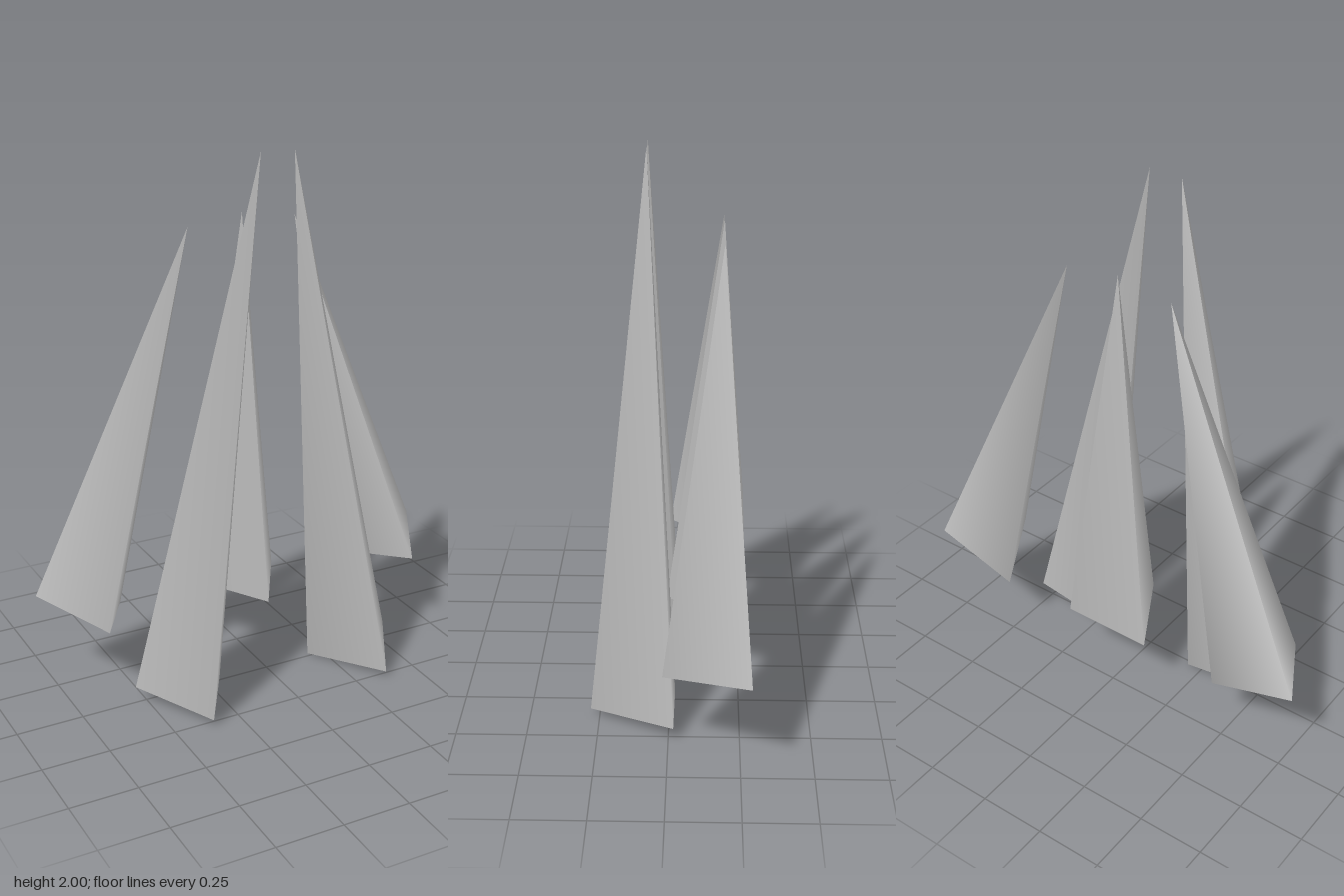
import * as THREE from 'three';

export function createModel() {
  const model = new THREE.Group();
  const material = new THREE.MeshStandardMaterial({ color: 0xcccccc });
  const radius = 0.2;
  const midHeight = 1.013;

  // Three-sided spike, centred on its mid height and leaning about z
  function addSpike(name, height, x, z, lean) {
    const spike = new THREE.Mesh(new THREE.ConeGeometry(radius, height, 3), material);
    spike.name = name;
    spike.position.set(x, midHeight, z);
    spike.rotation.z = lean;
    model.add(spike);
  }

  // Short upright spike in the middle of the back row
  addSpike('centreSpike', 1.45, 0, -0.183, 0);

  // Mirrored pairs: tall front spikes and short outer back spikes
  for (const side of [1, -1]) {
    const prefix = side > 0 ? 'left' : 'right';
    addSpike(prefix + 'FrontSpike', 1.996, side * 0.213, 0.082, side * 0.15);
    addSpike(prefix + 'OuterSpike', 1.45, side * 0.426, -0.183, side * 0.3);
  }

  return model;
}
